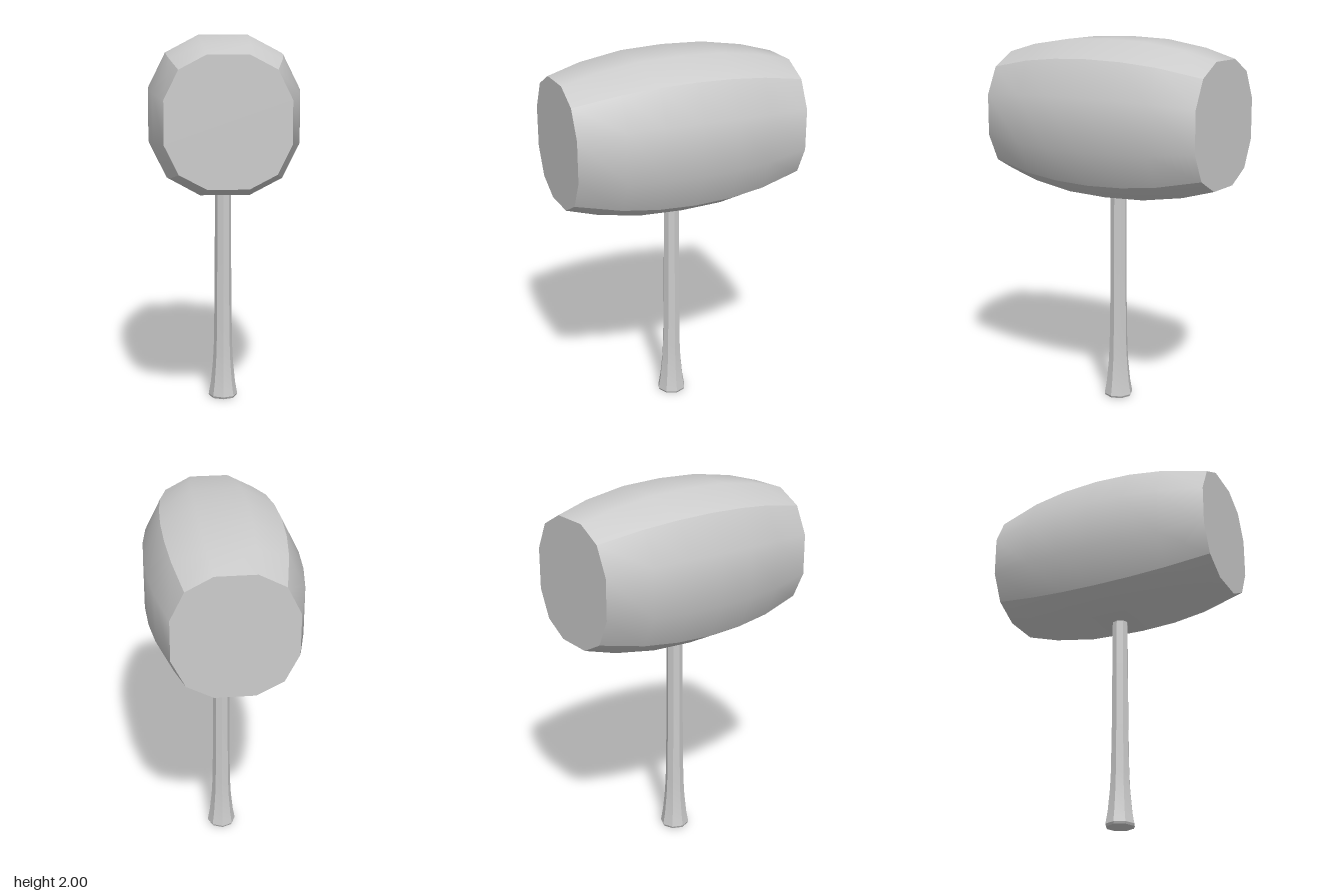
import * as THREE from 'three';
import { toCreasedNormals } from 'three/addons/utils/BufferGeometryUtils.js';

const material = new THREE.MeshStandardMaterial({ color: 0xcccccc });

// Barrel-shaped head: a twelve-sided section scaled along z
function headGeometry() {
  const quarter = [[0.403, 0.14], [0.31, 0.327], [0.133, 0.42]];
  const mirrored = quarter.map(([x, y]) => [-x, y]).reverse();
  const half = [...quarter, ...mirrored];
  const section = [...half, ...half.map(([x, y]) => [-x, -y])];
  const n = section.length;
  // Each ring: side of centre, z at the sides, z at the top and bottom, scale
  const rings = [
    [-0.635, -0.635, 0.78], [-0.395, -0.46, 0.92], [-0.2, -0.23, 0.98], [0, 0, 1],
    [0.2, 0.23, 0.98], [0.395, 0.46, 0.92], [0.635, 0.635, 0.78],
  ];
  const positions = [], index = [];
  for (const [zSide, zTop, s] of rings) {
    for (const [x, y] of section) {
      const top = Math.abs(x) < 0.2;
      const k = top && s === 0.92 ? 0.895 : s;
      positions.push(x * k, y * k, top ? zTop : zSide);
    }
  }
  for (let i = 0; i < rings.length - 1; i++) {
    for (let j = 0; j < n; j++) {
      const a = i * n + j, b = i * n + (j + 1) % n;
      index.push(a, b, b + n, a, b + n, a + n);
    }
  }
  // Flat striking faces
  const last = (rings.length - 1) * n;
  for (let j = 1; j < n - 1; j++) {
    index.push(last, last + j, last + j + 1);
    index.push(0, j + 1, j);
  }
  const geometry = new THREE.BufferGeometry();
  geometry.setAttribute('position', new THREE.Float32BufferAttribute(positions, 3));
  geometry.setIndex(index);
  return toCreasedNormals(geometry, THREE.MathUtils.degToRad(32));
}

// Eight-sided handle that flares at the foot
function handleGeometry() {
  const profile = [
    [0, 0], [0.074, 0], [0.08, 0.012], [0.068, 0.08], [0.056, 0.2],
    [0.051, 0.3], [0.047, 0.55], [0.045, 0.9], [0.043, 1.2],
  ].map(([r, y]) => new THREE.Vector2(r, y));
  return toCreasedNormals(new THREE.LatheGeometry(profile, 8), THREE.MathUtils.degToRad(30));
}

export function createModel() {
  const model = new THREE.Group();
  model.name = 'mallet';

  const head = new THREE.Mesh(headGeometry(), material);
  head.name = 'head';
  head.position.y = 1.58;
  model.add(head);

  const handle = new THREE.Mesh(handleGeometry(), material);
  handle.name = 'handle';
  model.add(handle);

  return model;
}
